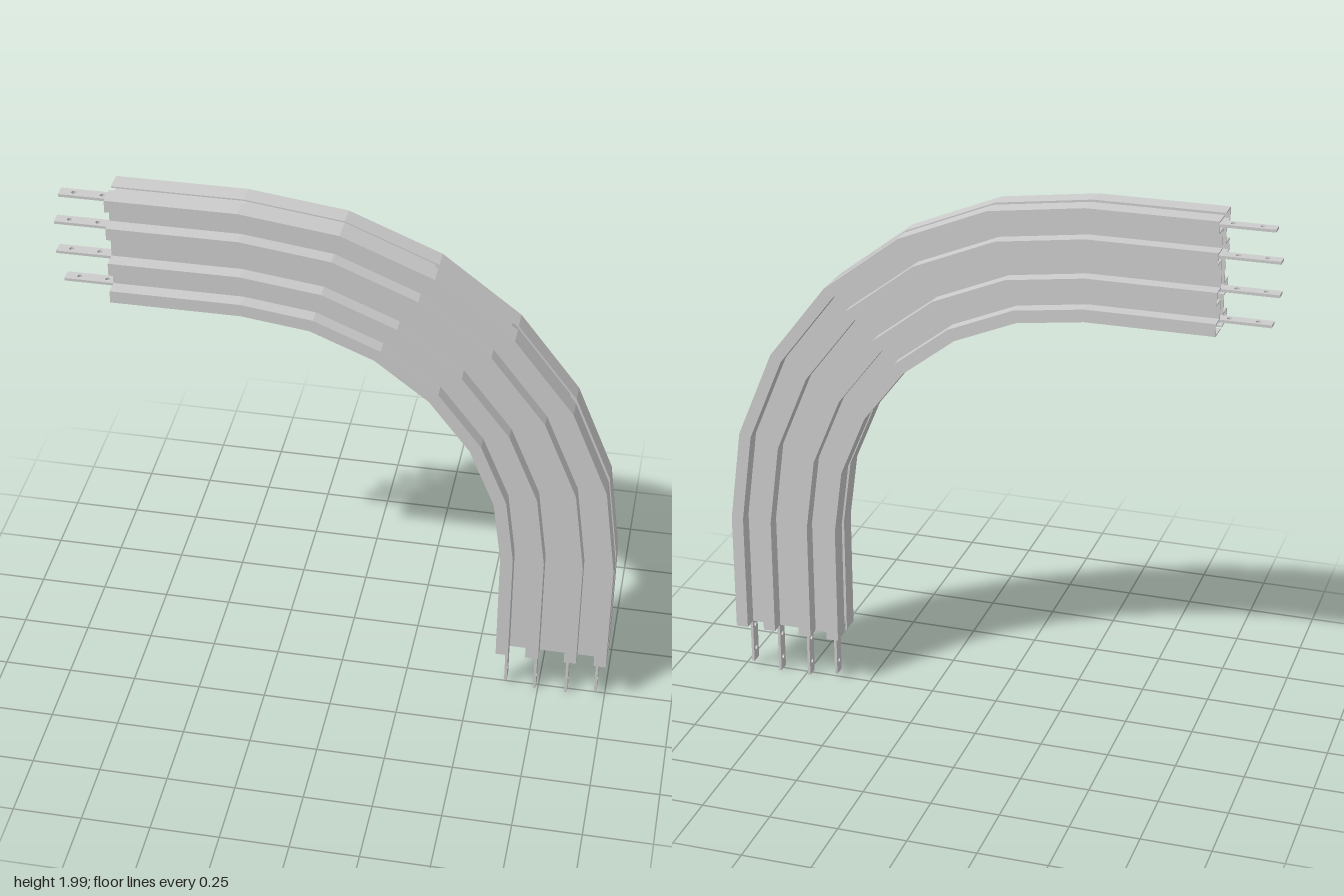
import * as THREE from 'three';

const CX = -0.34, CY = 0.66, R = 1.34;      // bend centre and outer radius
const X0 = -0.8, Y0 = 0.21;                 // housing ends
const STEPS = 6;

// Stations along the bend: each maps (u = depth from the outer edge, z) to space.
const stations = [(u, z) => [X0, CY + R - u, z]];
for (let i = 0; i <= STEPS; i++) {
  const t = (i / STEPS) * Math.PI / 2;
  stations.push((u, z) => [CX + (R - u) * Math.sin(t), CY + (R - u) * Math.cos(t), z]);
}
stations.push((u, z) => [CX + R - u, Y0, z]);

// Sweeps a bent strip of constant thickness round the bend.
function sweepStrip(outer, thickness) {
  const n = outer.length;
  const normals = outer.slice(1).map(([u, z], i) => {
    const du = u - outer[i][0], dz = z - outer[i][1], l = Math.hypot(du, dz);
    return [dz / l, -du / l];
  });
  const inner = outer.map(([u, z], i) => {
    const a = normals[i - 1] || [0, 0], b = normals[i] || [0, 0];
    return [u + thickness * (a[0] + b[0]), z + thickness * (a[1] + b[1])];
  });
  const loop = [...outer, ...inner.slice().reverse()];
  const pos = [];
  const quad = (a, b, c, d) => pos.push(...a, ...b, ...c, ...a, ...c, ...d);
  for (let k = 0; k < stations.length - 1; k++) {
    const s = stations[k], e = stations[k + 1];
    loop.forEach((p, i) => {
      const q = loop[(i + 1) % loop.length];
      quad(s(...p), s(...q), e(...q), e(...p));
    });
  }
  const s = stations[0], e = stations[stations.length - 1];
  for (let i = 0; i < n - 1; i++) {
    quad(s(...inner[i]), s(...inner[i + 1]), s(...outer[i + 1]), s(...outer[i]));
    quad(e(...outer[i]), e(...outer[i + 1]), e(...inner[i + 1]), e(...inner[i]));
  }
  const g = new THREE.BufferGeometry();
  g.setAttribute('position', new THREE.Float32BufferAttribute(pos, 3));
  g.computeVertexNormals();
  return g;
}

// Flat connector tongue along +x with two bolt holes.
function tongueGeometry(length, thickness, halfWidth) {
  const shape = new THREE.Shape();
  shape.moveTo(0, -halfWidth);
  shape.lineTo(length, -halfWidth);
  shape.lineTo(length, halfWidth);
  shape.lineTo(0, halfWidth);
  shape.closePath();
  for (const x of [0.05, 0.15]) {
    const hole = new THREE.Path();
    hole.absarc(x, 0, 0.009, 0, Math.PI * 2, true);
    shape.holes.push(hole);
  }
  const g = new THREE.ExtrudeGeometry(shape, { depth: thickness, bevelEnabled: false, curveSegments: 10 });
  g.translate(0, 0, -thickness / 2);
  g.rotateX(-Math.PI / 2);
  return g;
}

export function createModel() {
  const group = new THREE.Group();
  const material = new THREE.MeshStandardMaterial({ color: 0xcccccc, flatShading: true, side: THREE.DoubleSide });
  const add = (name, geometry) => {
    const mesh = new THREE.Mesh(geometry, material);
    mesh.name = name;
    group.add(mesh);
    return mesh;
  };

  // Housing: two ribbed sheets, with a slot left along both edges
  const D = 0.083, NECK = 0.03, SLOT = 0.012;
  const ribs = [[0, 0.045], [0.11, 0.155], [0.25, 0.298], [0.362, 0.408]];
  const front = [];
  ribs.forEach(([a, b], i) => {
    front.push([a, i === 0 ? SLOT : NECK], [a, D], [b, D], [b, i === 3 ? SLOT : NECK]);
  });
  const back = front.map(([u, z]) => [u, -z]).reverse();
  add('frontHousing', sweepStrip(front, 0.005));
  add('backHousing', sweepStrip(back, 0.005));

  // Four conductor bars with a drilled tongue at each end
  const T = 0.01, W = 0.022;
  [0.035, 0.145, 0.263, 0.373].forEach((u, i) => {
    add('conductor' + (i + 1), sweepStrip([[u - T / 2, -W], [u - T / 2, W]], T));
    const length = i === 0 || i === 3 ? 0.178 : 0.2;

    const upper = add('upperTongue' + (i + 1), tongueGeometry(length, T, W));
    upper.position.set(X0 - length, CY + R - u, 0);

    const lower = add('lowerTongue' + (i + 1), tongueGeometry(length, T, W));
    lower.rotation.z = Math.PI / 2;
    lower.position.set(CX + R - u, Y0 - length, 0);
  });

  // Stand exactly on the ground
  const box = new THREE.Box3().setFromObject(group);
  group.children.forEach((m) => { m.position.y -= box.min.y; });
  return group;
}
